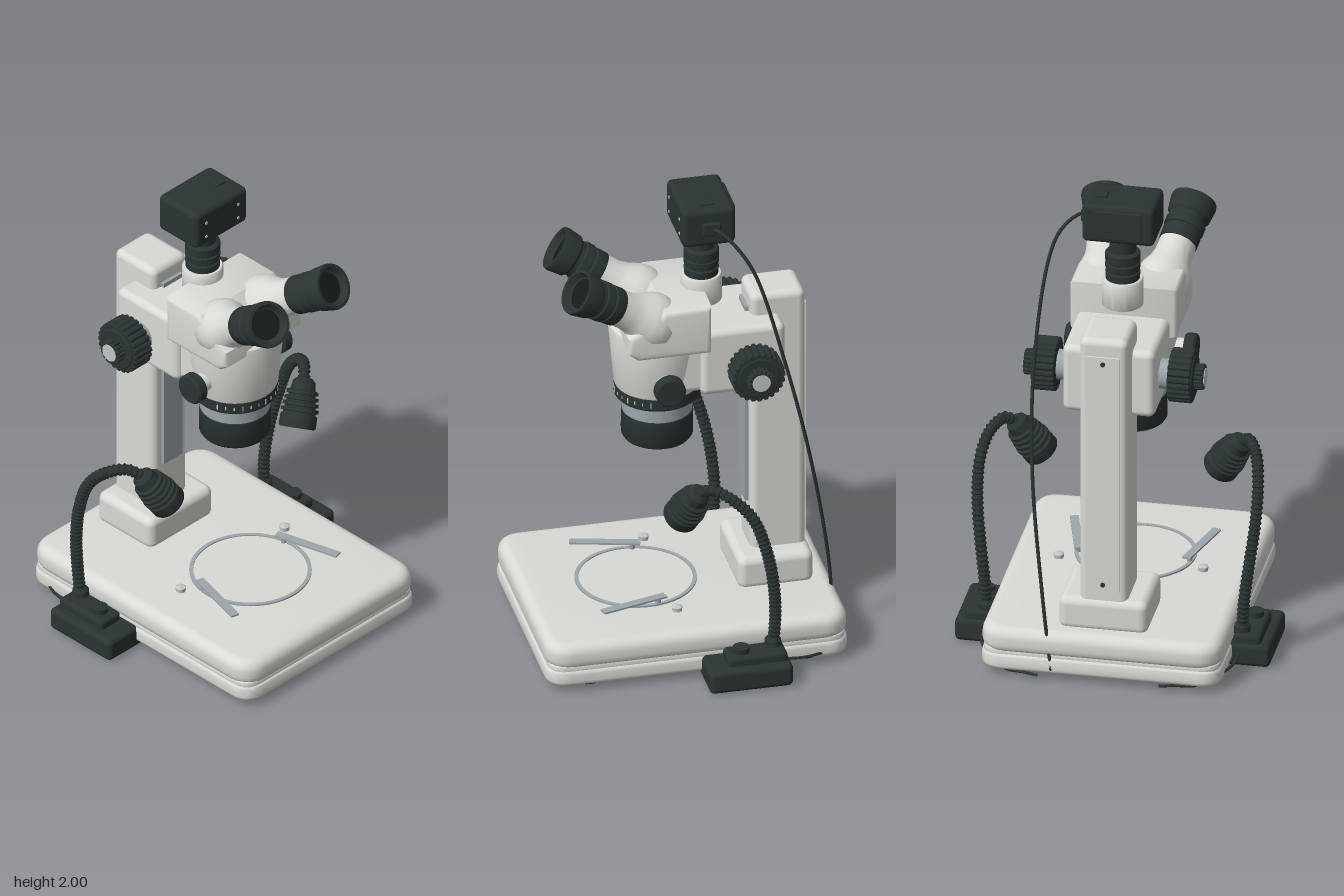
import * as THREE from 'three';
import { mergeGeometries, toCreasedNormals } from 'three/addons/utils/BufferGeometryUtils.js';
import { RoundedBoxGeometry } from 'three/addons/geometries/RoundedBoxGeometry.js';

const material = (name, color) => {
  const m = new THREE.MeshStandardMaterial({ color });
  m.name = name;
  return m;
};
const V = (x, y, z) => new THREE.Vector3(x, y, z);
const UP = V(0, 1, 0);

export function createModel() {
  const light = material('offWhitePaint', 0xd9dad4);
  const dark = material('darkPlastic', 0x2b3433);
  const steel = material('steel', 0x9ca6ab);
  const silver = material('silver', 0xc2c7c9);
  const glass = material('darkGlass', 0x171c1c);
  const model = new THREE.Group();
  model.name = 'stereoMicroscope';

  const add = (name, geo, mat, x = 0, y = 0, z = 0, parent = model) => {
    const m = new THREE.Mesh(geo, mat);
    m.name = name;
    m.position.set(x, y, z);
    parent.add(m);
    return m;
  };
  // Box given by its min and max corners
  const box = (name, mat, a, b, r = 0.02, parent = model) => {
    const s = b.map((v, i) => v - a[i]);
    const geo = r ? new RoundedBoxGeometry(...s, 3, r) : new THREE.BoxGeometry(...s);
    return add(name, geo, mat, ...a.map((v, i) => (v + b[i]) / 2), parent);
  };
  const lathe = (pts, seg = 40) => toCreasedNormals(
    new THREE.LatheGeometry(pts.map(p => new THREE.Vector2(...p)), seg), 0.6);
  const rod = (r, h, seg = 32) => new THREE.CylinderGeometry(r, r, h, seg);
  // Group whose +y axis runs along dir
  const aimed = (name, pos, dir) => {
    const g = new THREE.Group();
    g.name = name;
    g.position.copy(pos);
    g.quaternion.setFromUnitVectors(UP, dir.clone().normalize());
    model.add(g);
    return g;
  };
  // Horizontal slab with rounded corners and rolled edges
  const slab = (w, z0, z1, y0, y1, corner, bevel) => {
    const hw = w / 2 - bevel, a = -z1 + bevel, b = -z0 - bevel, c = corner;
    const s = new THREE.Shape();
    s.moveTo(-hw + c, a).lineTo(hw - c, a).quadraticCurveTo(hw, a, hw, a + c);
    s.lineTo(hw, b - c).quadraticCurveTo(hw, b, hw - c, b);
    s.lineTo(-hw + c, b).quadraticCurveTo(-hw, b, -hw, b - c);
    s.lineTo(-hw, a + c).quadraticCurveTo(-hw, a, -hw + c, a);
    const g = new THREE.ExtrudeGeometry(s, { depth: y1 - y0 - 2 * bevel, bevelSize: bevel,
      bevelThickness: bevel, bevelSegments: 5, curveSegments: 6 });
    g.rotateX(-Math.PI / 2).translate(0, y0 + bevel, 0);
    return toCreasedNormals(g, 0.7);
  };
  // Ribbed grip along +y, centred
  const grip = (r, h, n) => {
    const s = new THREE.Shape();
    for (let i = 0; i < n * 4; i++) {
      const t = (i / (n * 4)) * Math.PI * 2, q = i % 4 < 2 ? r - 0.004 : r - 0.012;
      s[i ? 'lineTo' : 'moveTo'](q * Math.cos(t), q * Math.sin(t));
    }
    const g = new THREE.ExtrudeGeometry(s, { depth: h - 0.008, bevelSize: 0.004, bevelThickness: 0.004, bevelSegments: 1 });
    return g.translate(0, 0, -h / 2 + 0.004).rotateX(-Math.PI / 2);
  };

  // Base with its seam and feet
  add('baseLower', slab(1.0, -0.625, 0.64, 0.03, 0.105, 0.07, 0.022), light);
  add('baseSeam', slab(0.985, -0.615, 0.63, 0.085, 0.125, 0.07, 0.01), light);
  add('baseUpper', slab(1.0, -0.625, 0.64, 0.1, 0.217, 0.06, 0.045), light);
  for (const x of [-0.375, 0.375]) for (const z of [-0.455, 0.455])
    add('foot', lathe([[0, 0], [0.065, 0], [0.072, 0.008], [0.072, 0.035], [0, 0.035]], 28), dark, x, 0, z);

  // Stage ring, clips and pins
  const ring = new THREE.Shape().absarc(0, 0, 0.25, 0, Math.PI * 2);
  ring.holes.push(new THREE.Path().absarc(0, 0, 0.234, 0, Math.PI * 2, true));
  const ringGeo = new THREE.ExtrudeGeometry(ring, { depth: 0.008, bevelEnabled: false, curveSegments: 32 });
  add('stageRing', ringGeo.rotateX(-Math.PI / 2), steel, 0, 0.216, 0.16);
  add('stagePlate', rod(0.234, 0.004, 48), light, 0, 0.218, 0.16);
  for (const s of [-1, 1]) {
    const clip = add('stageClip', new THREE.BoxGeometry(0.036, 0.008, 0.29), steel, s * 0.26, 0.248, 0.228);
    clip.rotation.y = s * 0.26;
    add('clipPost', rod(0.012, 0.04, 12), steel, s * 0.232, 0.23, 0.12);
    add('stagePin', lathe([[0, 0], [0.02, 0], [0.022, 0.02], [0.012, 0.026], [0, 0.026]], 16), silver, s * 0.3, 0.215, 0.057);
  }

  // Column
  box('columnFoot', light, [-0.185, 0.2, -0.545], [0.185, 0.35, -0.23], 0.035);
  box('column', light, [-0.1, 0.3, -0.53], [0.1, 1.535, -0.3], 0.03);
  box('columnRail', steel, [-0.053, 0.55, -0.305], [0.053, 1.46, -0.285], 0);
  box('columnBackPlate', light, [-0.07, 0.39, -0.538], [0.07, 1.46, -0.52], 0);
  for (const y of [0.42, 1.43]) {
    const screw = add('plateScrew', rod(0.01, 0.008, 12), dark, 0, y, -0.539);
    screw.rotation.x = Math.PI / 2;
  }

  // Focus carriage and knobs
  box('focusCarriage', light, [-0.192, 1.14, -0.425], [0.192, 1.44, -0.07], 0.03);
  for (const s of [-1, 1]) {
    const k = aimed('focusKnob', V(0, 1.28, -0.28), V(s, 0, 0));
    add('focusShaft', rod(0.063, 0.08), steel, 0, 0.215, 0, k);
    add('coarseGrip', grip(0.112, 0.095, 24), dark, 0, 0.282, 0, k);
    add('coarseFlange', lathe([[0, 0], [0.085, 0], [0.09, 0.01], [0.085, 0.014], [0, 0.014]]), dark, 0, 0.322, 0, k);
    add('fineGrip', grip(0.054, 0.05, 16), dark, 0, 0.349, 0, k);
    add('fineCap', rod(0.038, 0.006, 20), silver, 0, 0.374, 0, k);
    const zoom = aimed('zoomKnob', V(0, 1.22, 0.075), V(s, 0, 0));
    add('zoomShaft', rod(0.04, 0.08), light, 0, 0.19, 0, zoom);
    add('zoomGrip', lathe([[0, 0], [0.058, 0], [0.064, 0.006], [0.064, 0.042], [0.057, 0.05], [0, 0.05]], 28), dark, 0, 0.222, 0, zoom);
  }

  // Zoom body and objective
  const pod = new THREE.Group();
  pod.name = 'zoomBody';
  pod.position.z = 0.07;
  model.add(pod);
  add('podShell', lathe([[0, 1.13], [0.172, 1.13], [0.178, 1.145], [0.2, 1.39], [0.196, 1.412], [0.18, 1.42], [0, 1.42]], 56), light, 0, 0, 0, pod);
  box('podBack', light, [-0.17, 1.15, -0.17], [0.17, 1.41, 0], 0.03, pod);
  add('zoomCollar', lathe([[0, 1.082], [0.17, 1.082], [0.177, 1.09], [0.177, 1.135], [0.172, 1.142], [0, 1.142]], 56), dark, 0, 0, 0, pod);
  for (let i = -6; i <= 6; i++) {
    const t = i * 0.2;
    const tick = add('zoomTick', new THREE.BoxGeometry(0.005, i % 3 ? 0.014 : 0.024, 0.004), silver,
      0.177 * Math.sin(t), 1.112, 0.177 * Math.cos(t), pod);
    tick.rotation.y = t;
  }
  add('objectiveBand', rod(0.145, 0.08, 48), steel, 0, 1.052, 0, pod);
  add('objective', lathe([[0.118, 0.93], [0.118, 0.886], [0.138, 0.886], [0.147, 0.9], [0.147, 1.01], [0.14, 1.02], [0, 1.02]], 48), dark, 0, 0, 0, pod);
  add('objectiveRim', lathe([[0.11, 0.91], [0.112, 0.876], [0.127, 0.876], [0.13, 0.89]], 48), silver, 0, 0, 0, pod);
  add('objectiveLens', rod(0.118, 0.01, 40), glass, 0, 0.9, 0, pod);

  // Prism head: side profile (z, y) extruded across x
  const prof = [[-0.085, 1.38], [0.19, 1.38], [0.215, 1.4], [0.215, 1.45], [0.1, 1.525], [0.075, 1.55], [-0.085, 1.55]];
  const head = new THREE.ExtrudeGeometry(new THREE.Shape(prof.map(p => new THREE.Vector2(...p))),
    { depth: 0.4, bevelSize: 0.024, bevelThickness: 0.024, bevelSegments: 4 });
  head.translate(0, 0, -0.2).rotateY(-Math.PI / 2);
  add('prismHead', toCreasedNormals(head, 0.7), light);

  // Eyepiece tubes
  for (const s of [-1, 1]) {
    const dir = V(s * 0.17, 0.54, 0.83).normalize();
    const e = aimed('eyepiece', V(s * 0.187, 1.703, 0.453).addScaledVector(dir, -0.21), dir);
    add('eyeTube', lathe([[0, -0.28], [0.09, -0.27], [0.116, -0.23], [0.118, -0.18], [0.108, -0.14], [0.088, -0.1],
      [0.078, -0.06], [0.076, 0.002], [0, 0.002]], 36), light, 0, 0, 0, e);
    add('eyeBarrel', lathe([[0, 0], [0.079, 0], [0.081, 0.006], [0.081, 0.05], [0.076, 0.054], [0.076, 0.062], [0.084, 0.066],
      [0.084, 0.1], [0.078, 0.106], [0.078, 0.122], [0.09, 0.135], [0.097, 0.195], [0.094, 0.21], [0.082, 0.21],
      [0.07, 0.185], [0.06, 0.18]], 36), dark, 0, 0, 0, e);
    add('eyeLens', rod(0.064, 0.006), glass, 0, 0.179, 0, e);
  }

  // Camera port
  add('portTube', lathe([[0, 1.5], [0.082, 1.5], [0.085, 1.505], [0.085, 1.612], [0.08, 1.62], [0, 1.62]]), light, 0, 0, -0.115);
  add('portAdapter', lathe([[0, 1.615], [0.07, 1.615], [0.072, 1.65], [0.066, 1.655], [0.066, 1.665], [0.072, 1.67], [0.072, 1.69],
    [0.066, 1.695], [0.072, 1.7], [0.072, 1.735], [0.066, 1.742], [0.055, 1.745], [0.055, 1.83], [0, 1.83]]), dark, 0, 0, -0.115);

  // Camera
  box('cameraBody', dark, [-0.15, 1.82, -0.225], [0.15, 1.99, -0.003], 0.022);
  box('cameraBackPlate', dark, [-0.1, 1.845, -0.234], [0.1, 1.97, -0.22], 0.004);
  box('cameraButton', dark, [0.06, 1.98, -0.145], [0.11, 2.0, -0.09], 0.005);
  box('cameraSocket', dark, [0.14, 1.878, -0.16], [0.166, 1.932, -0.085], 0.006);
  for (const x of [-0.092, 0.092]) for (const y of [1.865, 1.932]) {
    const dot = add('cameraScrew', rod(0.007, 0.004, 12), silver, x, y, -0.002);
    dot.rotation.x = Math.PI / 2;
  }

  // Cables
  const tube = (name, pts, r, seg) => {
    const c = new THREE.CatmullRomCurve3(pts.map(p => V(...p)));
    add(name, new THREE.TubeGeometry(c, seg, r, 8), dark);
    return c;
  };
  tube('cameraCable', [[0.155, 1.905, -0.125], [0.19, 1.9, -0.155], [0.245, 1.85, -0.21], [0.28, 1.74, -0.275], [0.315, 1.32, -0.395],
    [0.3, 0.87, -0.5], [0.24, 0.36, -0.59], [0.2, 0.05, -0.62]], 0.0075, 64);

  for (const s of [-1, 1]) {
    tube('lampCable', [[s * 0.53, 0.065, -0.34], [s * 0.527, 0.06, -0.42], [s * 0.49, 0.05, -0.51],
      [s * 0.4, 0.02, -0.58], [s * 0.31, 0.03, -0.62], [s * 0.25, 0.03, -0.637]], 0.006, 32);
    // Lamp stand
    const stand = (name, x0, x1, y0, y1, z0, z1, r) => box(name, dark,
      [Math.min(s * x0, s * x1), y0, z0], [Math.max(s * x0, s * x1), y1, z1], r);
    stand('lampStand', 0.44, 0.655, 0.003, 0.103, -0.35, 0, 0.022);
    stand('lampStandStep', 0.5, 0.615, 0.08, 0.142, -0.335, -0.085, 0.018);
    add('lampDial', rod(0.034, 0.03, 24), dark, s * 0.56, 0.15, -0.15);
    stand('lampSwitch', 0.515, 0.535, 0.14, 0.15, -0.18, -0.15, 0);
    // Ribbed gooseneck
    const neck = tube('gooseneck', [[s * 0.53, 0.13, -0.29], [s * 0.54, 0.28, -0.298], [s * 0.56, 0.45, -0.285], [s * 0.578, 0.62, -0.25],
      [s * 0.578, 0.77, -0.195], [s * 0.555, 0.855, -0.115], [s * 0.51, 0.885, -0.04], [s * 0.465, 0.85, 0.005]], 0.021, 64);
    const ribs = [];
    for (let i = 1; i < 44; i++) {
      const p = neck.getPointAt(i / 44);
      const q = new THREE.Quaternion().setFromUnitVectors(V(0, 0, 1), neck.getTangentAt(i / 44));
      ribs.push(new THREE.TorusGeometry(0.019, 0.007, 6, 16).applyQuaternion(q).translate(p.x, p.y, p.z));
    }
    add('gooseneckRibs', mergeGeometries(ribs), dark);
    add('gooseneckSocket', lathe([[0, 0], [0.036, 0], [0.034, 0.03], [0.026, 0.04], [0, 0.04]], 20), dark, s * 0.53, 0.135, -0.29);
    // Finned lamp head
    const lamp = aimed('lampHead', V(s * 0.475, 0.862, 0), V(s * -0.105, -0.165, 0.06));
    const fins = [[0, 0], [0.03, 0], [0.046, 0.015], [0.052, 0.05]];
    for (let i = 0; i < 4; i++) {
      const y = 0.055 + i * 0.024, r = 0.066 + i * 0.004;
      fins.push([r, y], [r, y + 0.013], [r - 0.01, y + 0.015], [r - 0.01, y + 0.022]);
    }
    fins.push([0.076, 0.155], [0.077, 0.2], [0.072, 0.208], [0.064, 0.208], [0.06, 0.19]);
    add('lampShell', lathe(fins, 32), dark, 0, 0, 0, lamp);
    add('lampLens', rod(0.062, 0.006), glass, 0, 0.192, 0, lamp);
  }
  return model;
}
